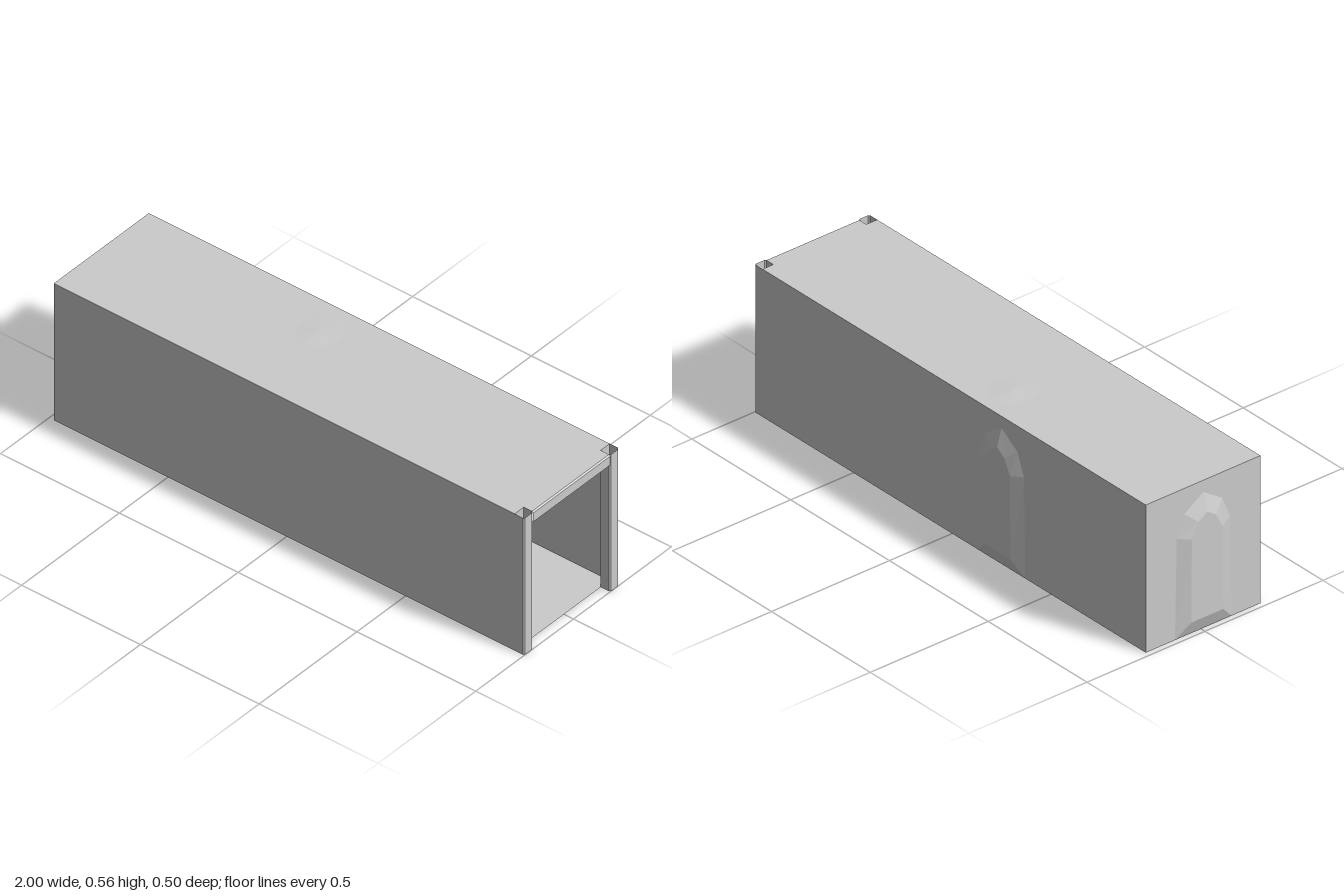
import * as THREE from 'three';

const material = new THREE.MeshStandardMaterial({ color: 0xcccccc, side: THREE.DoubleSide, flatShading: true });
const X0 = -0.98, X1 = 0.96, XEND = 1, H = 0.56, ZF = 0.252, ZB = -0.234;

function add(parent, name, geometry) {
  const mesh = new THREE.Mesh(geometry, material);
  mesh.name = name;
  parent.add(mesh);
  return mesh;
}

// Mirror half of an arch (foot to crown) into a full run of points
function arch(half, centre) {
  const left = half.map(([x, y]) => new THREE.Vector2(centre - x, y));
  const right = half.slice(0, -1).reverse().map(([x, y]) => new THREE.Vector2(centre + x, y));
  return [...left, ...right];
}

// Sheet wall with a shallow arched niche pushed out along local +z
function nicheWall(name, u0, u1, centre, depth) {
  const group = new THREE.Group();
  group.name = name;
  const outer = arch([[0.12, 0], [0.113, 0.38], [0.08, 0.462], [0, 0.515]], centre);
  const inner = arch([[0.068, 0.055], [0.065, 0.37], [0.037, 0.425], [0, 0.45]], centre);
  const V = (x, y) => new THREE.Vector2(x, y);

  add(group, name + 'Sheet', new THREE.ShapeGeometry(
    new THREE.Shape([V(u0, 0), ...outer, V(u1, 0), V(u1, H), V(u0, H)])));
  add(group, name + 'NicheBack', new THREE.ShapeGeometry(new THREE.Shape(inner))).position.z = depth;

  // Sloping reveal between the two arches, including the sill
  const p = [];
  outer.forEach((a, i) => {
    const j = (i + 1) % outer.length, b = outer[j], c = inner[j], d = inner[i];
    p.push(a.x, a.y, 0, c.x, c.y, depth, b.x, b.y, 0);
    p.push(a.x, a.y, 0, d.x, d.y, depth, c.x, c.y, depth);
  });
  const reveal = new THREE.BufferGeometry();
  reveal.setAttribute('position', new THREE.Float32BufferAttribute(p, 3));
  reveal.computeVertexNormals();
  add(group, name + 'NicheReveal', reveal);
  return group;
}

// Hollow trim tube with chamfered outer edges, open at both ends; runs along +z
function trimGeometry(width, depth, length) {
  const w = width / 2, c = 0.005;
  const profile = [[-w, 0], [-w, depth - c], [-w + c, depth], [w - c, depth], [w, depth - c], [w, 0]];
  const p = [];
  profile.forEach(([x, y], i) => {
    const [x2, y2] = profile[(i + 1) % profile.length];
    p.push(x, y, 0, x, y, length, x2, y2, length, x, y, 0, x2, y2, length, x2, y2, 0);
  });
  const g = new THREE.BufferGeometry();
  g.setAttribute('position', new THREE.Float32BufferAttribute(p, 3));
  g.computeVertexNormals();
  return g;
}

export function createModel() {
  const model = new THREE.Group();
  model.name = 'corridor';
  const length = X1 - X0, depth = ZF - ZB, midX = (X0 + X1) / 2, midZ = (ZF + ZB) / 2;

  // Floor and ceiling sheets
  for (const [name, y] of [['floor', 0], ['ceiling', H]]) {
    const sheet = add(model, name, new THREE.PlaneGeometry(length, depth).rotateX(-Math.PI / 2));
    sheet.position.set(midX, y, midZ);
  }

  // Shallow swelling in the ceiling
  const swelling = add(model, 'ceilingSwelling', new THREE.ConeGeometry(1, 1, 8, 1, true));
  swelling.scale.set(0.08, 0.003, 0.1);
  swelling.position.set(-0.15, H + 0.0015, -0.1);

  // Plain front wall
  add(model, 'frontWall', new THREE.PlaneGeometry(length, H)).position.set(midX, H / 2, ZF);

  // Back and end walls with arched niches
  const back = nicheWall('backWall', -X1, -X0, 0.25, 0.019);
  back.rotation.y = Math.PI;
  back.position.z = ZB;
  const end = nicheWall('endWall', ZB, ZF, 0.01, 0.02);
  end.rotation.y = -Math.PI / 2;
  end.position.x = X0;
  model.add(back, end);

  // Door posts
  const trim = 0.046, out = XEND - X1;
  for (const [name, z] of [['frontPost', ZF - trim / 2], ['backPost', ZB + trim / 2]]) {
    const g = trimGeometry(trim, out, H).rotateX(-Math.PI / 2).rotateY(-Math.PI / 2);
    // Face the post out of the open end
    g.rotateY(Math.PI * 2);
    g.computeBoundingBox();
    if (g.boundingBox.max.x < 0.001) g.rotateY(Math.PI);
    add(model, name, g).position.set(X1, 0, z);
  }

  // Lintel between the posts
  const lintel = trimGeometry(trim, out, depth - 2 * trim).rotateZ(-Math.PI / 2);
  add(model, 'lintel', lintel).position.set(X1, H - trim / 2, ZB + trim);

  return model;
}
